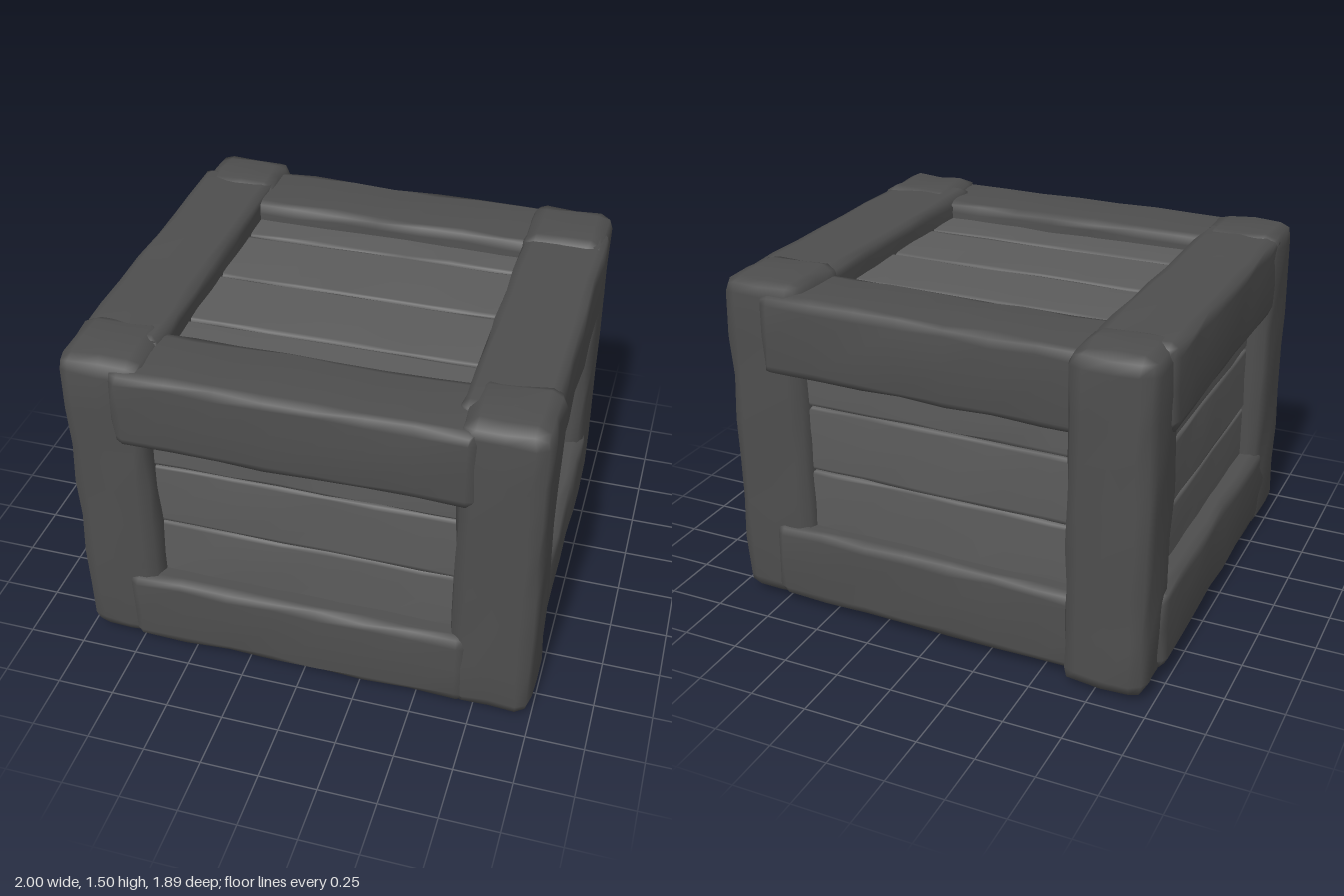
import * as THREE from 'three';
import { mergeVertices } from 'three/addons/utils/BufferGeometryUtils.js';

const frameMaterial = new THREE.MeshStandardMaterial({ color: 0x4e4e4e });
const plankMaterial = new THREE.MeshStandardMaterial({ color: 0x5c5c5c });

// Small repeatable noise in -1..1
function seeded(seed) {
  let s = seed * 7919 + 17;
  return () => {
    s = (s * 16807) % 2147483647;
    return (s / 2147483647) * 2 - 1;
  };
}

// Rough-hewn beam filling min..max: a box with worn edges and an uneven, smooth-shaded surface
function timber(name, min, max, round, rough, seed, material) {
  const half = min.map((v, i) => (max[i] - v) / 2);
  const longest = half.indexOf(Math.max(...half));
  const segs = half.map((h, i) => (i === longest ? 9 : h > 0.1 ? 4 : 3));
  let geo = new THREE.BoxGeometry(...half.map((h) => h * 2), ...segs);
  geo.deleteAttribute('normal');
  geo.deleteAttribute('uv');
  geo = mergeVertices(geo, 1e-4);
  const noise = seeded(seed);
  for (let i = 0; i < 3; i++) noise();
  const pos = geo.attributes.position;
  for (let v = 0; v < pos.count; v++) {
    const p = [pos.getX(v), pos.getY(v), pos.getZ(v)];
    // Outermost rows sit at the start of the rounding
    const q = p.map((c, a) => {
      const row = Math.round(((c / half[a] + 1) / 2) * segs[a]);
      const flat = half[a] - round;
      if (row === 0 || row === segs[a]) return c;
      return -flat + (2 * flat * (row - 1)) / (segs[a] - 2);
    });
    const core = q.map((c, a) => THREE.MathUtils.clamp(c, round - half[a], half[a] - round));
    const d = new THREE.Vector3(q[0] - core[0], q[1] - core[1], q[2] - core[2]);
    d.normalize().multiplyScalar(round);
    pos.setXYZ(
      v,
      core[0] + d.x + noise() * rough,
      core[1] + d.y + noise() * rough,
      core[2] + d.z + noise() * rough
    );
  }
  geo.computeVertexNormals();
  const mesh = new THREE.Mesh(geo, material);
  mesh.name = name;
  mesh.position.set(...min.map((v, i) => (v + max[i]) / 2));
  return mesh;
}

export function createModel() {
  const crate = new THREE.Group();
  crate.name = 'crate';
  let seed = 1;
  const add = (name, min, max, round, rough, material) => {
    const m = timber(name, min, max, round, rough, seed++, material);
    crate.add(m);
    return m;
  };
  const post = (name, min, max) => add(name, min, max, 0.065, 0.007, frameMaterial);
  const rail = (name, min, max) => add(name, min, max, 0.045, 0.007, frameMaterial);
  const plank = (name, min, max) => add(name, min, max, 0.018, 0.004, plankMaterial);

  // Corner posts, each standing slightly out of line
  post('frontRightPost', [-0.992, 0.02, 0.555], [-0.63, 1.485, 0.915]).rotation.z = 0.005;
  post('frontLeftPost', [0.632, 0.005, 0.555], [0.992, 1.49, 0.915]).rotation.z = 0.005;
  post('backRightPost', [-0.97, 0.015, -0.945], [-0.61, 1.48, -0.62]);
  post('backLeftPost', [0.59, 0.015, -0.85], [0.96, 1.495, -0.48]);

  // Front and back rails, lapping over the posts
  rail('frontTopRail', [-0.77, 1.1, 0.57], [0.72, 1.455, 0.935]);
  rail('frontBottomRail', [-0.78, 0.035, 0.57], [0.72, 0.395, 0.935]);
  rail('backTopRail', [-0.72, 1.1, -0.88], [0.77, 1.455, -0.515]).rotation.y = -0.01;
  rail('backBottomRail', [-0.72, 0.035, -0.88], [0.77, 0.395, -0.515]).rotation.y = -0.01;

  // Side rails
  rail('leftTopRail', [0.6, 1.12, -0.69], [0.97, 1.48, 0.78]);
  rail('leftBottomRail', [0.6, 0.06, -0.61], [0.97, 0.42, 0.78]);
  rail('rightTopRail', [-0.99, 1.12, -0.77], [-0.63, 1.48, 0.72]);
  rail('rightBottomRail', [-0.99, 0.06, -0.77], [-0.63, 0.42, 0.72]);

  // Wall planks, recessed behind the frame
  const rows = [0.34, 0.66, 0.96, 1.2];
  for (let i = 0; i < 3; i++) {
    const lo = rows[i];
    const hi = rows[i + 1];
    plank('frontPlank', [-0.72, lo, 0.74], [0.72, hi, 0.84]);
    plank('backPlank', [-0.72, lo, -0.8], [0.72, hi, -0.7]);
    plank('leftPlank', [0.78, lo, -0.62], [0.88, hi, 0.7]);
    plank('rightPlank', [-0.9, lo, -0.68], [-0.8, hi, 0.7]);
  }

  // Lid and floor planks, with narrow gaps between them
  const strips = [-0.7, -0.37, 0, 0.37, 0.7];
  for (let i = 0; i < 4; i++) {
    const near = strips[i] + 0.003;
    const far = strips[i + 1] - 0.003;
    plank('lidPlank', [-0.72, 1.28, near], [0.72, 1.38, far]);
    plank('floorPlank', [-0.72, 0.12, near], [0.72, 0.22, far]);
  }
  return crate;
}
